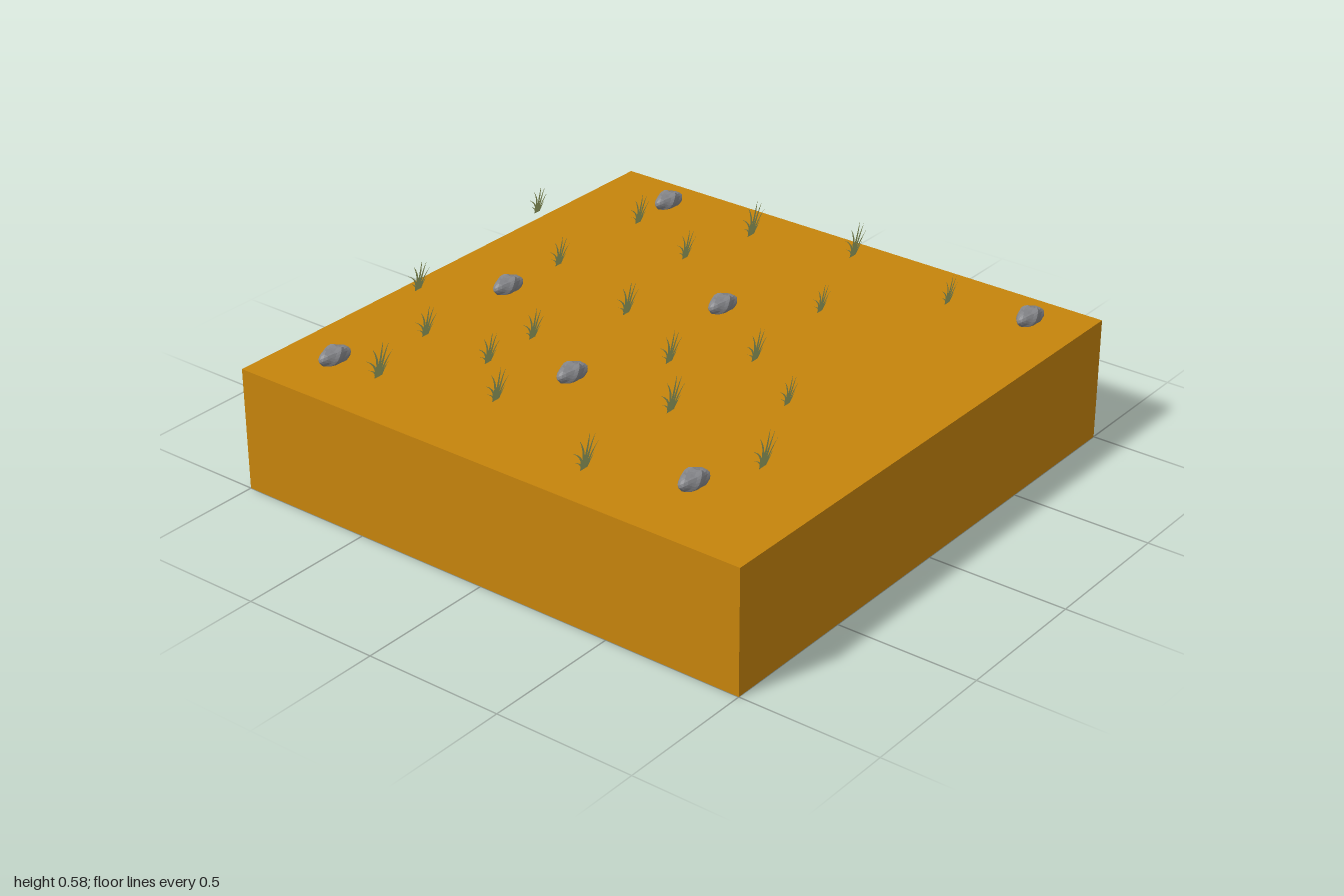
import * as THREE from 'three';

const GROUND = 0.44;

const soil = new THREE.MeshStandardMaterial({ color: 0xc6840c });
soil.name = 'ochre soil';
const stone = new THREE.MeshStandardMaterial({ color: 0x85868a, flatShading: true });
stone.name = 'grey stone';
const leafLight = new THREE.MeshStandardMaterial({ color: 0xa0ac68 });
leafLight.name = 'olive leaf';
const leafDark = new THREE.MeshStandardMaterial({ color: 0x6f8f6c });
leafDark.name = 'muted green leaf';

// x, z of each rock
const ROCKS = [[-0.71, -0.85], [0.81, -0.85], [-0.05, -0.3], [-0.71, 0.03],
  [-0.13, 0.39], [-0.81, 0.77], [0.6, 0.7]];

// x, z, base height and size of each grass tuft
const TUFTS = [
  [0.07, -0.9, 0, 1], [-0.31, -0.82, 0, 1.02], [0.53, -0.79, 0, 0.8], [-0.69, -0.66, 0, 0.85],
  [-0.38, -0.53, 0, 0.83], [-0.98, -0.45, 0.035, 0.78], [0.27, -0.42, 0.035, 0.78],
  [-0.69, -0.22, 0, 0.83], [-0.27, -0.07, 0, 0.92], [0.27, -0.06, 0, 0.9], [0.06, 0.12, 0, 0.9],
  [0.53, 0.12, 0, 0.8], [-0.94, 0.22, 0, 0.85], [-0.4, 0.26, 0, 0.85], [-0.4, 0.48, 0, 0.85],
  [-0.69, 0.46, 0, 0.83], [0.27, 0.38, 0, 1], [0.71, 0.49, 0, 1], [-0.21, 0.66, 0, 0.9],
  [-0.61, 0.77, 0, 0.98], [0.29, 0.83, 0, 0.98],
];

// root z, tip z, tip height and width of each blade in a tuft
const BLADES = [
  [0.012, 0.064, 0.085, 0.011], [0.008, 0.036, 0.118, 0.012], [0.002, -0.012, 0.13, 0.012],
  [-0.006, -0.04, 0.115, 0.012], [-0.012, -0.062, 0.08, 0.011],
  [0.014, 0.05, 0.045, 0.009], [-0.014, -0.045, 0.042, 0.009],
];

// Curved, tapering strips in the yz plane, leaning slightly to +x
function tuftGeometry(flip) {
  const pos = [], index = [], steps = 5;
  for (const [root, tip, height, width] of BLADES) {
    const base = pos.length / 3;
    for (let i = 0; i <= steps; i++) {
      const t = i / steps;
      const z = root + (tip - root) * t * t;
      const y = height * (t * 1.25 - 0.25 * t * t);
      const half = width * 0.5 * (1 - t ** 2.2) + 0.0003;
      const x = -0.008 + 0.018 * (y / 0.13) + 0.004 * Math.sin(t * Math.PI);
      pos.push(x, y, z + half, x, y, z - half);
      if (i === steps) continue;
      const a = base + i * 2, b = a + 1, c = a + 2, d = a + 3;
      if (flip) index.push(a, c, b, b, c, d);
      else index.push(a, b, c, b, d, c);
    }
  }
  const geometry = new THREE.BufferGeometry();
  geometry.setAttribute('position', new THREE.Float32BufferAttribute(pos, 3));
  geometry.setIndex(index);
  geometry.computeVertexNormals();
  return geometry;
}

// Low lumpy pebble, flatter on its -x side and with a lower step toward -z
function rockGeometry() {
  const geometry = new THREE.IcosahedronGeometry(1, 3);
  const p = geometry.attributes.position;
  for (let i = 0; i < p.count; i++) {
    const x = p.getX(i), y = p.getY(i), z = p.getZ(i);
    const lump = 1 + 0.05 * Math.sin(5 * x + 2 * z) + 0.05 * Math.sin(7 * z + 4 * y);
    const px = (x < 0 ? Math.max(x, -0.85) : x) * lump * 0.039;
    const top = Math.min(y * 1.2, 0.9 + 0.1 * Math.sin(6 * x + 5 * z)) * (z < -0.4 ? 0.85 : 1);
    p.setXYZ(i, px, Math.max(0.016 + top * lump * 0.029, -0.004), z * lump * 0.063 + x * 0.004);
  }
  geometry.computeVertexNormals();
  return geometry;
}

export function createModel() {
  const model = new THREE.Group();
  model.name = 'groundTile';

  // Square block of earth
  const block = new THREE.Mesh(new THREE.BoxGeometry(2, GROUND, 2), soil);
  block.name = 'earthBlock';
  block.position.y = GROUND / 2;
  model.add(block);

  // Scattered rocks
  const rockShape = rockGeometry();
  for (const [x, z] of ROCKS) {
    const rock = new THREE.Mesh(rockShape, stone);
    rock.name = 'rock';
    rock.position.set(x, GROUND, z);
    model.add(rock);
  }

  // Scattered grass, with a different green on each face of the blades
  const rightFaces = tuftGeometry(false), leftFaces = tuftGeometry(true);
  for (const [x, z, lift, size] of TUFTS) {
    const tuft = new THREE.Group();
    tuft.name = 'grassTuft';
    const light = new THREE.Mesh(rightFaces, leafLight);
    light.name = 'bladeFronts';
    const dark = new THREE.Mesh(leftFaces, leafDark);
    dark.name = 'bladeBacks';
    tuft.add(light, dark);
    tuft.position.set(x, GROUND + lift, z);
    tuft.scale.setScalar(size);
    model.add(tuft);
  }
  return model;
}
